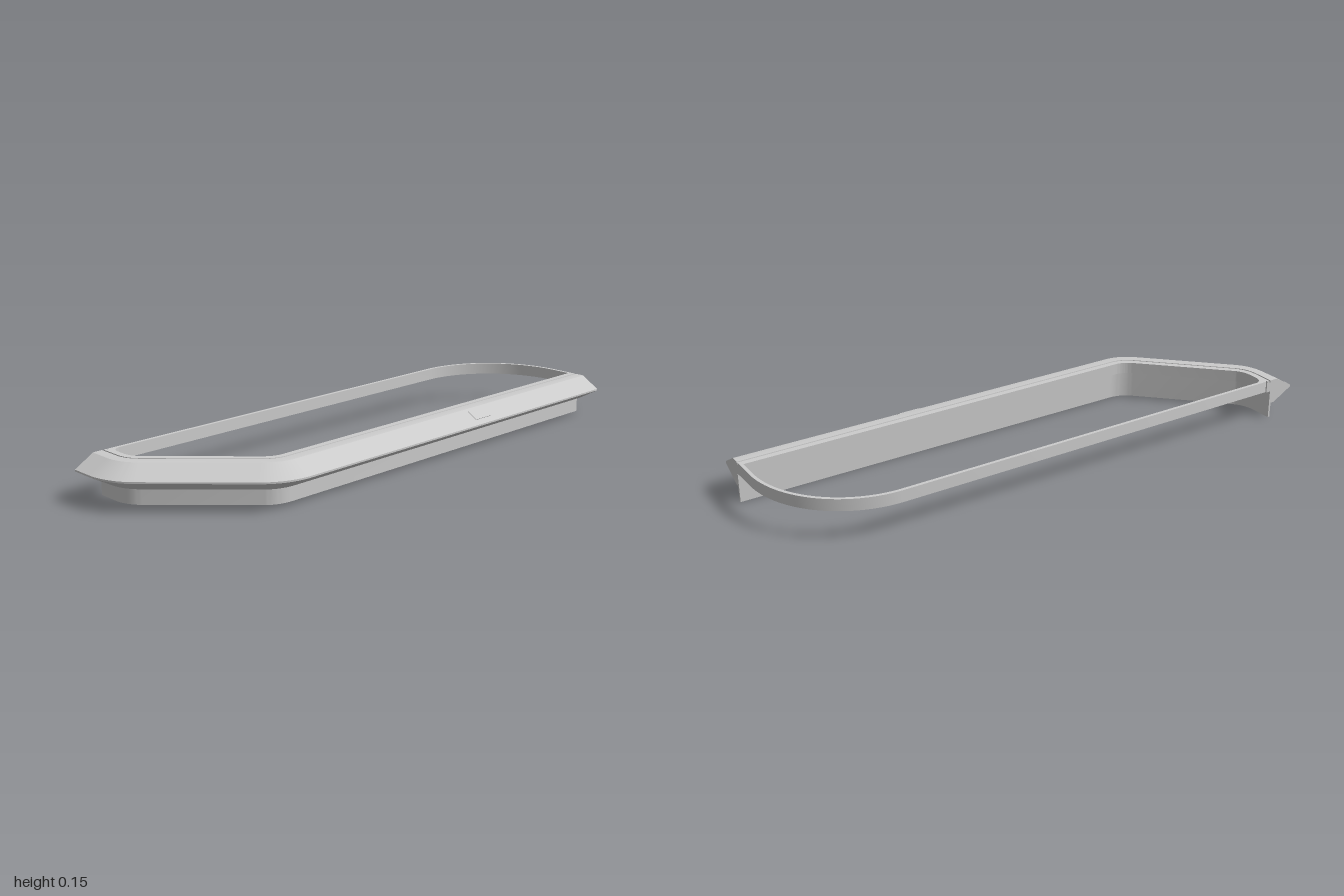
import * as THREE from 'three';
import { toCreasedNormals } from 'three/addons/utils/BufferGeometryUtils.js';

const material = new THREE.MeshStandardMaterial({ color: 0xcccccc, side: THREE.DoubleSide });

// Trim cross-section: [distance inward from the outer tip, height], clockwise
const PROFILE = [
  [0, 0.102], [0, 0.108], [0.07, 0.149], [0.076, 0.15], [0.104, 0.15], [0.105, 0.142],
  [0.109, 0.142], [0.11, 0.15], [0.12, 0.15], [0.12, 0.105], [0.102, 0.105],
  [0.102, 0], [0.094, 0], [0.094, 0.057], [0.08, 0.057],
];

// Stations along the outer edge: position (x, z) and heading (0 = +x, PI/2 = -z)
function bend(cx, cz, r, from, to, n = 12) {
  const out = [];
  for (let i = 0; i <= n; i++) {
    const h = from + (to - from) * i / n;
    out.push({ x: cx + r * Math.sin(h), z: cz + r * Math.cos(h), h });
  }
  return out;
}

// Sweep the cross-section along the stations and cap both ends
function sweep(name, stations) {
  const pos = [];
  const rings = stations.map(({ x, z, h }) =>
    PROFILE.map(([d, y]) => [x - Math.sin(h) * d, y, z - Math.cos(h) * d]));
  const tri = (a, b, c) => pos.push(...a, ...b, ...c);
  const n = PROFILE.length;
  for (let i = 0; i < rings.length - 1; i++) {
    for (let j = 0; j < n; j++) {
      const k = (j + 1) % n;
      tri(rings[i][j], rings[i + 1][j], rings[i + 1][k]);
      tri(rings[i][j], rings[i + 1][k], rings[i][k]);
    }
  }
  const flat = PROFILE.map(([d, y]) => new THREE.Vector2(d, y));
  const first = rings[0], last = rings[rings.length - 1];
  for (const f of THREE.ShapeUtils.triangulateShape(flat.slice(), [])) {
    const clockwise = THREE.ShapeUtils.area(f.map(i => flat[i])) < 0;
    const [a, b, c] = clockwise ? f : [f[0], f[2], f[1]];
    tri(first[a], first[b], first[c]);
    tri(last[a], last[c], last[b]);
  }
  const geo = new THREE.BufferGeometry();
  geo.setAttribute('position', new THREE.Float32BufferAttribute(pos, 3));
  const mesh = new THREE.Mesh(toCreasedNormals(geo, 0.35), material);
  mesh.name = name;
  return mesh;
}

// Outline of the thin rim loop, inset by t, drawn in (x, -z)
function rimOutline(t, PathType) {
  const p = new PathType();
  const L = -0.285 + t, R = 0.165 - t, F = -0.88 + t, B = 1 - t;
  const q = Math.PI / 4;
  const r = 0.1 - t, corner = 0.01 + 2 * t;
  p.moveTo(R, B);
  p.lineTo(0.075, B);
  p.absarc(0.075, 0.64, 0.36 - t, Math.PI / 2, Math.PI, false);
  p.lineTo(L, F + corner);
  p.absarc(L + corner, F + corner, corner, Math.PI, 1.5 * Math.PI, false);
  p.absarc(-0.205, -0.78, r, -2 * q, -q, false);
  p.absarc(0.065, -0.51, r, -q, 0, false);
  p.closePath();
  return p;
}

export function createModel() {
  const group = new THREE.Group();
  const q = Math.PI / 4;

  // Wedge-edged trim with hanging skirt: front run, two 45 degree bends, long side
  group.add(sweep('frontTrim', [
    { x: -0.285, z: 1, h: 0 },
    ...bend(-0.205, 0.78, 0.22, 0, q),
    ...bend(0.065, 0.51, 0.22, q, 2 * q),
    { x: 0.285, z: -0.4, h: 2 * q },
  ]));
  group.add(sweep('rearTrim', [
    { x: 0.285, z: -0.4, h: 2 * q },
    { x: 0.285, z: -1, h: 2 * q },
  ]));

  // Thin closed rim around the opening
  const shape = rimOutline(0, THREE.Shape);
  shape.holes.push(rimOutline(0.012, THREE.Path));
  const rimGeo = new THREE.ExtrudeGeometry(shape, { depth: 0.042, bevelEnabled: false, curveSegments: 24 });
  rimGeo.rotateX(-Math.PI / 2).translate(0, 0.108, 0);
  const rim = new THREE.Mesh(toCreasedNormals(rimGeo, 0.5), material);
  rim.name = 'openingRim';
  group.add(rim);

  // Small access plate on the upper slope
  const plate = new THREE.Mesh(new THREE.BoxGeometry(0.045, 0.004, 0.08), material);
  plate.name = 'accessPlate';
  plate.position.set(0.245, 0.1315, -0.34);
  plate.rotation.z = -Math.atan2(0.041, 0.07);
  group.add(plate);

  return group;
}
